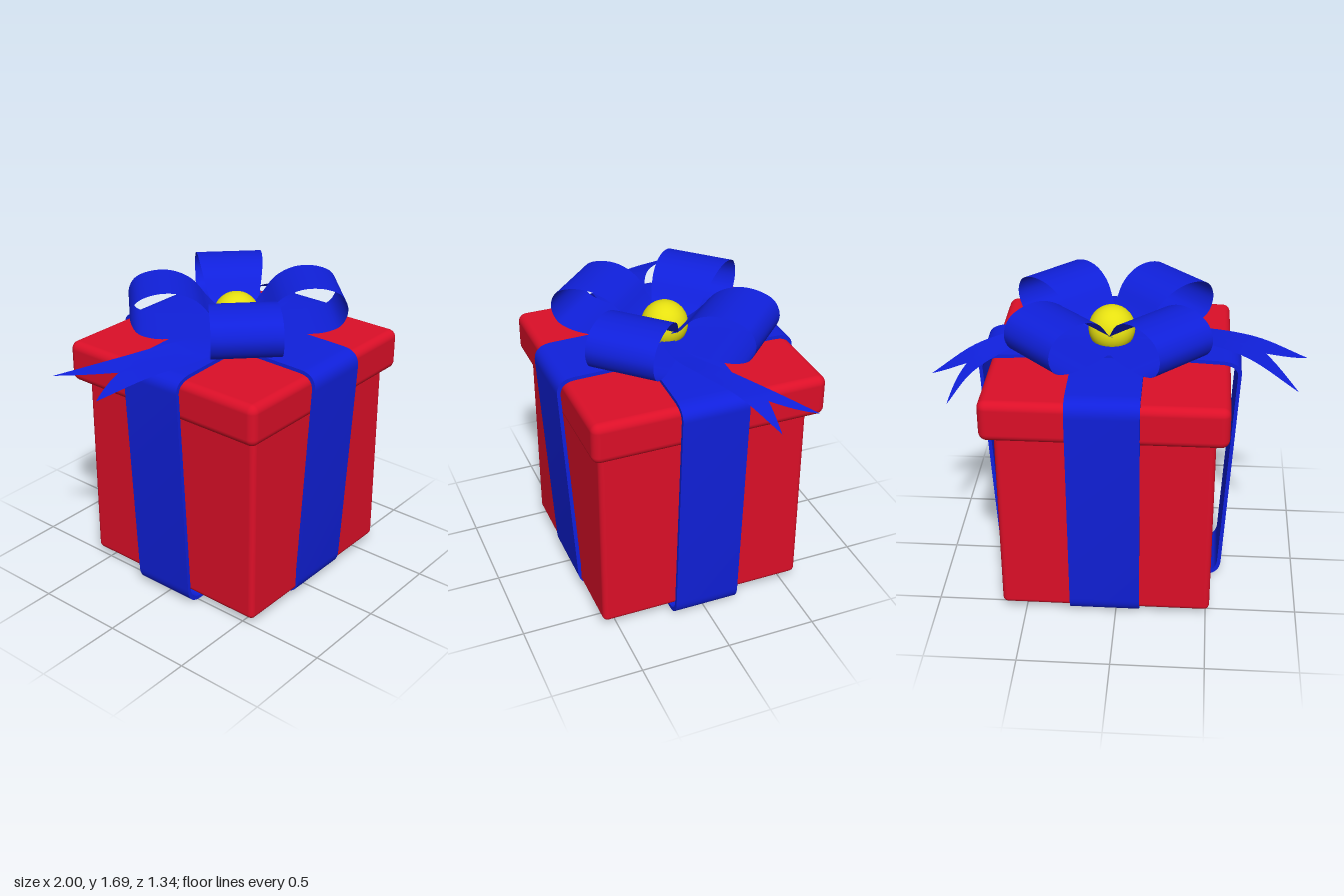
import * as THREE from 'three';
import { toCreasedNormals } from 'three/addons/utils/BufferGeometryUtils.js';
import { RoundedBoxGeometry } from 'three/addons/geometries/RoundedBoxGeometry.js';
import { ParametricGeometry } from 'three/addons/geometries/ParametricGeometry.js';

const CX = 0.055; // the box sits slightly off the middle because the tails differ

const red = new THREE.MeshStandardMaterial({ color: 0xdc0f28 });
const blue = new THREE.MeshStandardMaterial({ color: 0x1020dc, side: THREE.DoubleSide });
const yellow = new THREE.MeshStandardMaterial({ color: 0xe6e010 });

function named(name, geometry, material, x = 0, y = 0, z = 0) {
  const mesh = new THREE.Mesh(geometry, material);
  mesh.name = name;
  mesh.position.set(x, y, z);
  return mesh;
}

function roundedBox(name, w, y0, y1, d, z, radius) {
  return named(name, new RoundedBoxGeometry(w, y1 - y0, d, 4, radius), red, CX, (y0 + y1) / 2, z);
}

// Trapezoid outline with rounded corners and a slightly crowned top
function bandOutline(path, bottom, top, y0, y1, r, crown) {
  const lean = (top - bottom) / (y1 - y0);
  path.moveTo(-bottom + r, y0);
  path.lineTo(bottom - r, y0);
  path.quadraticCurveTo(bottom, y0, bottom + lean * r, y0 + r);
  path.lineTo(top - lean * r, y1 - r);
  path.quadraticCurveTo(top, y1 - crown, top - r, y1 - crown * 0.6);
  path.quadraticCurveTo(0, y1 + crown * 0.6, -top + r, y1 - crown * 0.6);
  path.quadraticCurveTo(-top, y1 - crown, -top + lean * r, y1 - r);
  path.lineTo(-bottom - lean * r, y0 + r);
  path.quadraticCurveTo(-bottom, y0, -bottom + r, y0);
  return path;
}

// Closed ribbon band around the box
function band(name, bottom, top, y0, y1, width, crown) {
  const t = 0.02;
  const shape = bandOutline(new THREE.Shape(), bottom, top, y0, y1, 0.1, crown);
  shape.holes.push(bandOutline(new THREE.Path(), bottom - t, top - t, y0 + t, y1 - t, 0.085, crown));
  const geometry = new THREE.ExtrudeGeometry(shape, { depth: width, bevelEnabled: false, curveSegments: 12 });
  geometry.translate(0, 0, -width / 2);
  return named(name, toCreasedNormals(geometry, 0.6), blue);
}

// Thin smooth ribbon surface
function sheet(name, rule, slices, stacks) {
  const geometry = new ParametricGeometry(rule, slices, stacks);
  geometry.computeVertexNormals();
  return named(name, geometry, blue);
}

const curve = (points) => new THREE.CatmullRomCurve3(points.map((p) => new THREE.Vector3(...p)));

// Bow loop: teardrop profile (distance from knot, height), pinched at the knot
const loopProfile = curve([
  [0, 1.45, 0], [0.13, 1.53, 0], [0.23, 1.64, 0], [0.34, 1.688, 0], [0.46, 1.685, 0], [0.545, 1.645, 0],
  [0.578, 1.565, 0], [0.545, 1.48, 0], [0.46, 1.443, 0], [0.3, 1.435, 0], [0, 1.43, 0],
]);

function bowLoop(name) {
  const p = new THREE.Vector3();
  return sheet(name, (u, v, target) => {
    loopProfile.getPoint(u, p);
    const halfWidth = 0.01 + 0.176 * (1 - Math.exp(-p.x / 0.11));
    target.set(p.x, p.y, (2 * v - 1) * halfWidth);
  }, 60, 8);
}

// Tail: ribbon spanned between two edge curves, with a V notch at the end
function tail(name, backEdge, frontEdge, notch) {
  const back = curve(backEdge), front = curve(frontEdge);
  const a = new THREE.Vector3(), b = new THREE.Vector3();
  return sheet(name, (u, v, target) => {
    const t = u * (1 - notch * (1 - Math.abs(2 * v - 1)));
    back.getPoint(t, a);
    front.getPoint(t, b);
    target.lerpVectors(a, b, v);
  }, 32, 12);
}

export function createModel() {
  const model = new THREE.Group();
  model.name = 'giftBox';

  // Box and lid
  model.add(roundedBox('box', 1.15, 0.045, 1.2, 1.16, 0, 0.03));
  model.add(roundedBox('lid', 1.284, 1.135, 1.365, 1.284, -0.012, 0.045));

  // Crossing ribbon bands
  const sideBand = band('sideToSideRibbon', 0.633, 0.705, 0, 1.415, 0.365, 0.025);
  sideBand.position.set(CX, 0, -0.003);
  const frontBand = band('frontToBackRibbon', 0.595, 0.675, 0.012, 1.4, 0.384, 0.008);
  frontBand.rotation.y = Math.PI / 2;
  frontBand.position.set(0.06, 0, -0.003);
  model.add(sideBand, frontBand);

  // Bow with four diagonal loops and a round centre
  const bow = new THREE.Group();
  bow.name = 'bow';
  bow.position.set(CX, 0, -0.005);
  for (let i = 0; i < 4; i++) {
    const loop = bowLoop('bowLoop' + (i + 1));
    loop.rotation.y = Math.PI / 4 + (i * Math.PI) / 2;
    bow.add(loop);
  }
  bow.add(named('bowCentre', new THREE.SphereGeometry(0.126, 32, 20), yellow, 0, 1.49, 0));
  model.add(bow);

  // Ribbon tails
  model.add(tail('rightTail',
    [[0.05, 1.435, -0.03], [-0.15, 1.44, 0], [-0.4, 1.455, -0.07], [-0.665, 1.43, -0.19], [-0.93, 1.355, -0.41]],
    [[0.05, 1.435, 0.05], [-0.15, 1.435, 0.14], [-0.4, 1.43, 0.155], [-0.72, 1.42, 0.08], [-1, 1.355, -0.03]], 0.18));
  model.add(tail('leftTail',
    [[0.05, 1.435, -0.03], [0.3, 1.445, -0.02], [0.56, 1.435, -0.16], [0.76, 1.375, -0.34], [0.87, 1.28, -0.52]],
    [[0.05, 1.435, 0.05], [0.36, 1.45, 0.065], [0.56, 1.455, 0.005], [0.78, 1.42, -0.11], [1, 1.305, -0.24]], 0.2));

  return model;
}
